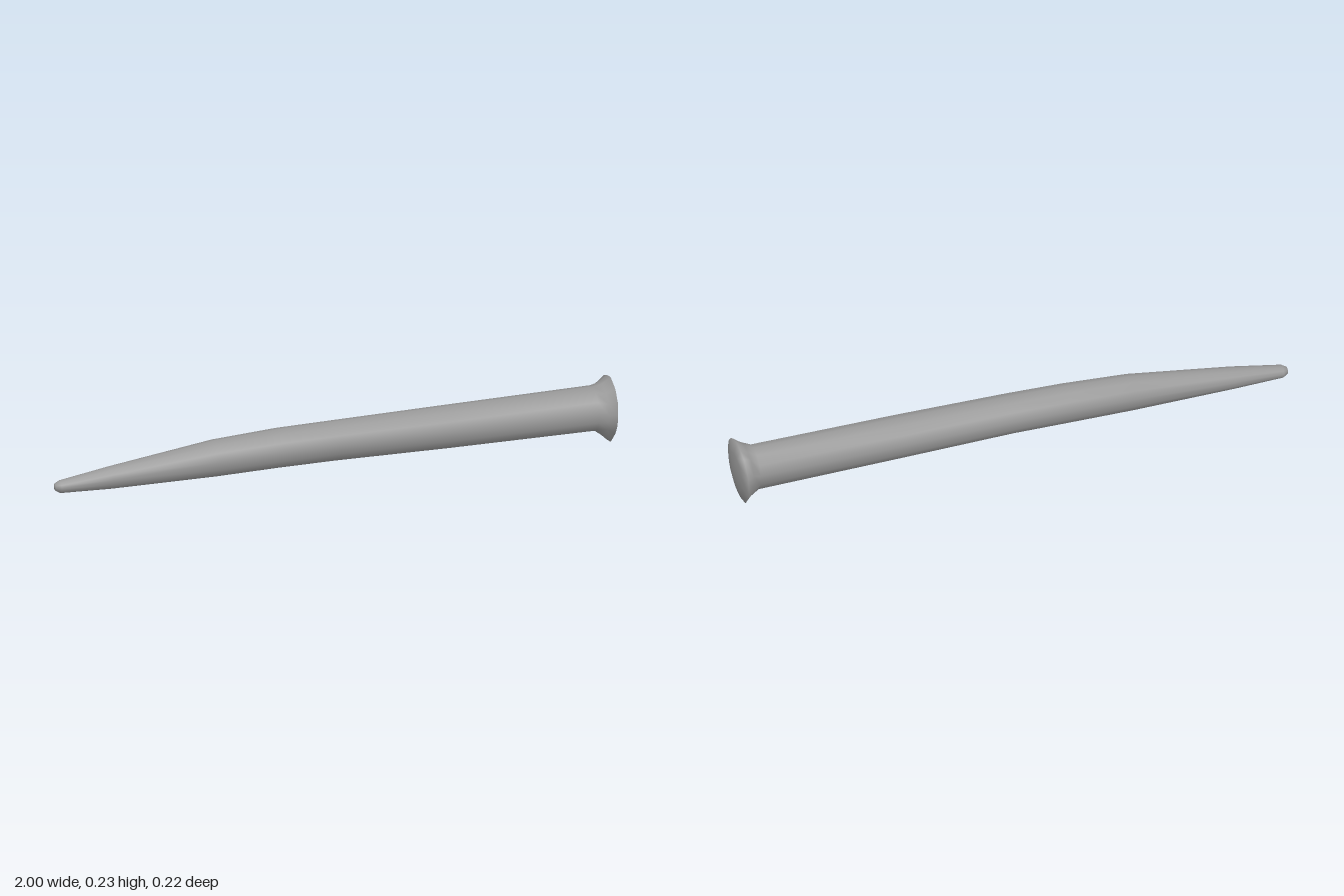
import * as THREE from 'three';
import { mergeVertices } from 'three/addons/utils/BufferGeometryUtils.js';

// Hammered, uneven rim of the head as [z, y], going from the top towards -z
const RIM = [
  [0.005, 0.23], [-0.035, 0.222], [-0.07, 0.207], [-0.11, 0.147], [-0.105, 0.07],
  [-0.053, 0.012], [0.005, 0.001], [0.048, 0.01], [0.095, 0.06], [0.111, 0.095],
  [0.112, 0.13], [0.098, 0.175], [0.065, 0.209],
];
const MID_Y = 0.118;

// Oval ring at x, given its y and z limits
function oval([x, y0, y1, z0, z1]) {
  const ry = (y1 - y0) * 0.507, rz = (z1 - z0) * 0.507;
  return RIM.map((_, j) => {
    const a = Math.PI / 2 + (j / RIM.length) * Math.PI * 2;
    return [x, (y0 + y1) / 2 + Math.sin(a) * ry, (z0 + z1) / 2 + Math.cos(a) * rz];
  });
}

// Rim scaled about its middle; the head leans slightly, so x follows y
function rimRing(x, scale, lean) {
  return RIM.map(([z, y]) => {
    const dy = (y - MID_Y) * scale;
    return [x + dy * lean, MID_Y + dy, z * scale];
  });
}

// Smooth skin through rings that share one point count, running towards +x
function loft(rings) {
  const n = RIM.length;
  const index = [];
  for (let i = 0; i < rings.length - 1; i++) {
    for (let j = 0; j < n; j++) {
      const a = i * n + j, b = i * n + (j + 1) % n;
      index.push(a, a + n, b, b, a + n, b + n);
    }
  }
  const geometry = new THREE.BufferGeometry();
  geometry.setAttribute('position', new THREE.Float32BufferAttribute(rings.flat(2), 3));
  geometry.setIndex(index);
  const merged = mergeVertices(geometry, 1e-5);
  merged.computeVertexNormals();
  return merged;
}

export function createModel() {
  const group = new THREE.Group();
  group.name = 'nail';

  // Shaft: blunt tip, long taper, nearly straight body; x, y limits, z limits
  const shaft = [
    [-1, 0.079, 0.079, 0.023, 0.023],
    [-0.998, 0.067, 0.091, 0.011, 0.036],
    [-0.98, 0.057, 0.1, 0, 0.048],
    [-0.8, 0.052, 0.129, -0.014, 0.063],
    [-0.43, 0.051, 0.178, -0.04, 0.081],
    [-0.2, 0.055, 0.19, -0.05, 0.085],
    [0, 0.056, 0.193, -0.052, 0.086],
    [0.4, 0.049, 0.196, -0.064, 0.084],
    [0.925, 0.042, 0.198, -0.078, 0.071],
  ].map(oval);

  // Head: flare, rim and shallow domed face, sharing smooth normals with the shaft
  const head = [
    rimRing(0.953, 0.82, 0.03),
    rimRing(0.979, 1, 0.06),
    rimRing(0.991, 0.6, 0.06),
    rimRing(1, 0, 0),
  ];

  const body = new THREE.Mesh(
    loft([...shaft, ...head]),
    new THREE.MeshStandardMaterial({ color: 0x999999 }),
  );
  body.name = 'shaftAndHead';
  group.add(body);
  return group;
}
